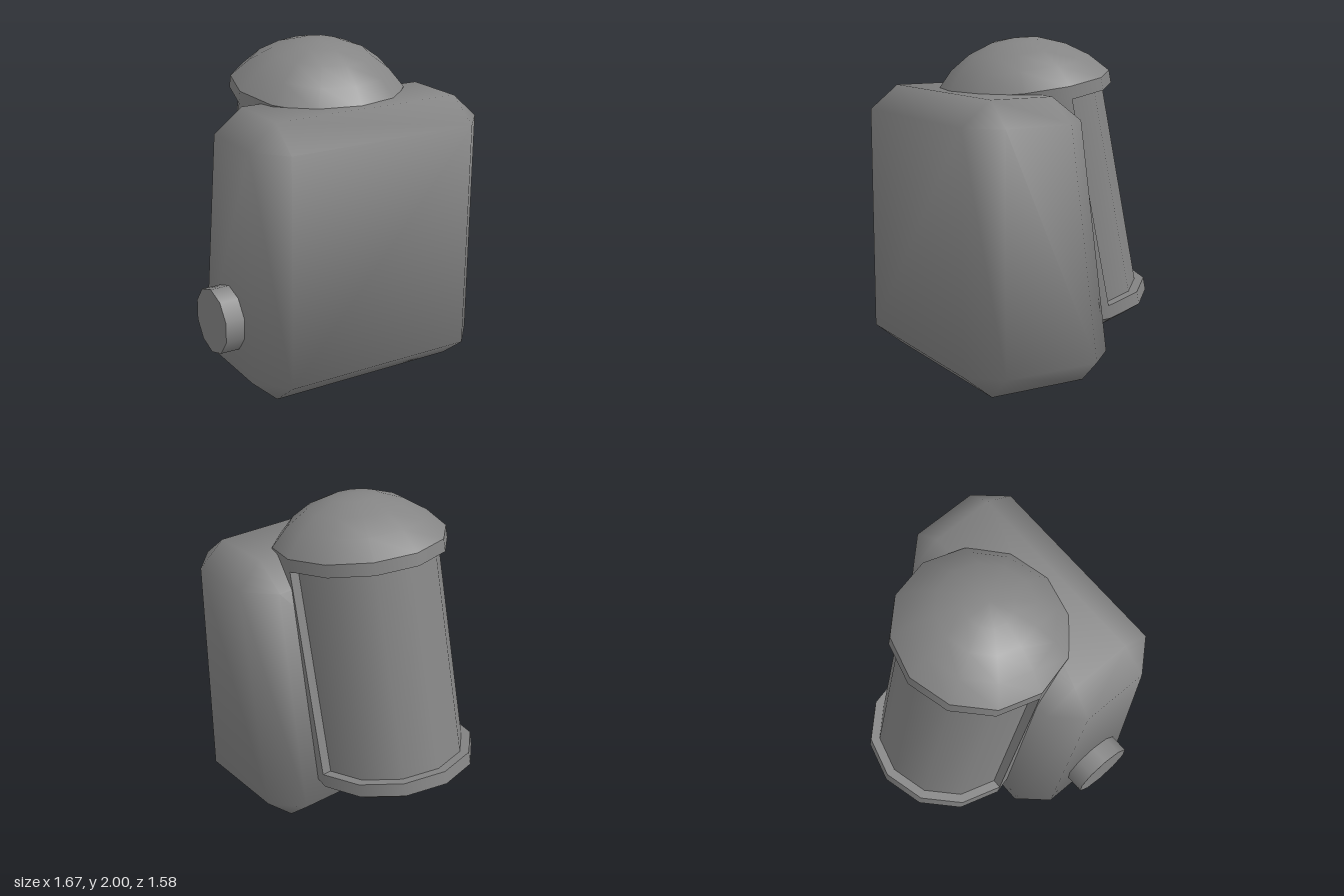
import * as THREE from 'three';
import { ConvexGeometry } from 'three/addons/geometries/ConvexGeometry.js';
import { mergeVertices } from 'three/addons/utils/BufferGeometryUtils.js';

const CX = 0.058; // centre line of body and tank

// Soft shading: every distinct face around a corner counts equally, whatever its size
function softenNormals(geometry) {
  const { position, normal } = geometry.attributes;
  const points = [], faces = [];
  for (let i = 0; i < position.count; i++) {
    points.push(new THREE.Vector3().fromBufferAttribute(position, i));
    faces.push(new THREE.Vector3().fromBufferAttribute(normal, i));
  }
  points.forEach((p, i) => {
    const around = [];
    points.forEach((q, j) => {
      const isNew = around.every((n) => n.dot(faces[j]) < 0.98);
      if (p.distanceTo(q) < 1e-4 && isNew) around.push(faces[j]);
    });
    const sum = around.reduce((total, n) => total.add(n), new THREE.Vector3()).normalize();
    normal.setXYZ(i, sum.x, sum.y, sum.z);
  });
  return geometry;
}

export function createModel() {
  const model = new THREE.Group();
  const material = new THREE.MeshStandardMaterial({ color: 0x858585 });
  const add = (name, geometry, parent = model) => {
    const mesh = new THREE.Mesh(geometry, material);
    mesh.name = name;
    parent.add(mesh);
  };

  // Chamfered body with a sloping back: each corner is cut into three points
  const corners = [];
  for (const s of [-1, 1]) {
    const outer = CX + s * 0.774, inner = CX + s * 0.609;
    // [y of wall points, y of top/bottom points, back z on side, back wall, top/bottom]
    for (const [y, yEnd, zSide, zWall, zEnd] of [
      [0.15, 0, 0, -0.18, -0.01],
      [1.55, 1.695, 0.185, 0.015, 0.21],
    ]) {
      corners.push(
        new THREE.Vector3(outer, y, 0.605), new THREE.Vector3(outer, y, zSide),
        new THREE.Vector3(inner, y, 0.788), new THREE.Vector3(inner, y, zWall),
        new THREE.Vector3(inner, yEnd, 0.605), new THREE.Vector3(inner, yEnd, zEnd));
    }
  }
  add('body', softenNormals(new ConvexGeometry(corners)));

  // Round knob on the right side
  const knob = new THREE.CylinderGeometry(0.2, 0.2, 0.15, 10, 1, false, Math.PI / 2);
  knob.rotateZ(Math.PI / 2).translate(-0.76, 0.465, 0.33);
  add('sideKnob', knob);

  // Leaning tank: built upright, then sheared into place
  const tank = new THREE.Group();
  tank.name = 'tank';
  model.add(tank);
  const lean = new THREE.Matrix4().makeBasis(
    new THREE.Vector3(1, 0, 0),
    new THREE.Vector3(0, 1, 0.216),
    new THREE.Vector3(0, -0.136, 0.99)).setPosition(CX, 0.319, -0.268);
  const R = 0.528, r = 0.47, low = 0.08, high = 1.345, top = 1.42;
  const addTank = (name, geometry) => add(name, geometry.applyMatrix4(lean), tank);
  const drum = (radius, y0, y1, open = false, start = 0, arc = Math.PI * 2) =>
    new THREE.CylinderGeometry(radius, radius, y1 - y0, Math.round(arc / Math.PI * 6), 1, open, start, arc)
      .translate(0, (y0 + y1) / 2, 0);

  addTank('lowerRim', drum(R, 0, low));
  addTank('upperRim', drum(R, high, top));
  addTank('innerTank', drum(r, low, high, true));
  addTank('frontShell', drum(R, low, high, true, -Math.PI / 2, Math.PI));

  // Narrow ledges where the shell stops beside the recessed tank
  for (const s of [-1, 1]) {
    addTank('shellEdge', new THREE.PlaneGeometry(R - r, high - low).rotateY(Math.PI)
      .translate(s * (R + r) / 2, (low + high) / 2, 0));
  }

  // Spherical caps closing the tank, with a smooth pole
  const cap = (height, base, dir) => {
    const radius = (R * R + height * height) / (2 * height);
    const angle = Math.asin(R / radius);
    const points = [];
    for (let i = 0; i <= 4; i++) {
      const a = angle * (1 - i / 4);
      const y = radius * (Math.cos(a) - Math.cos(angle));
      points.push(new THREE.Vector2(radius * Math.sin(a), base + dir * y));
    }
    if (dir < 0) points.reverse();
    const lathe = new THREE.LatheGeometry(points, 12);
    lathe.deleteAttribute('normal').deleteAttribute('uv');
    const smooth = mergeVertices(lathe, 1e-4);
    smooth.computeVertexNormals();
    return smooth;
  };
  addTank('topDome', cap(0.261, top, 1));
  addTank('bottomDome', cap(0.16, 0, -1));

  return model;
}
